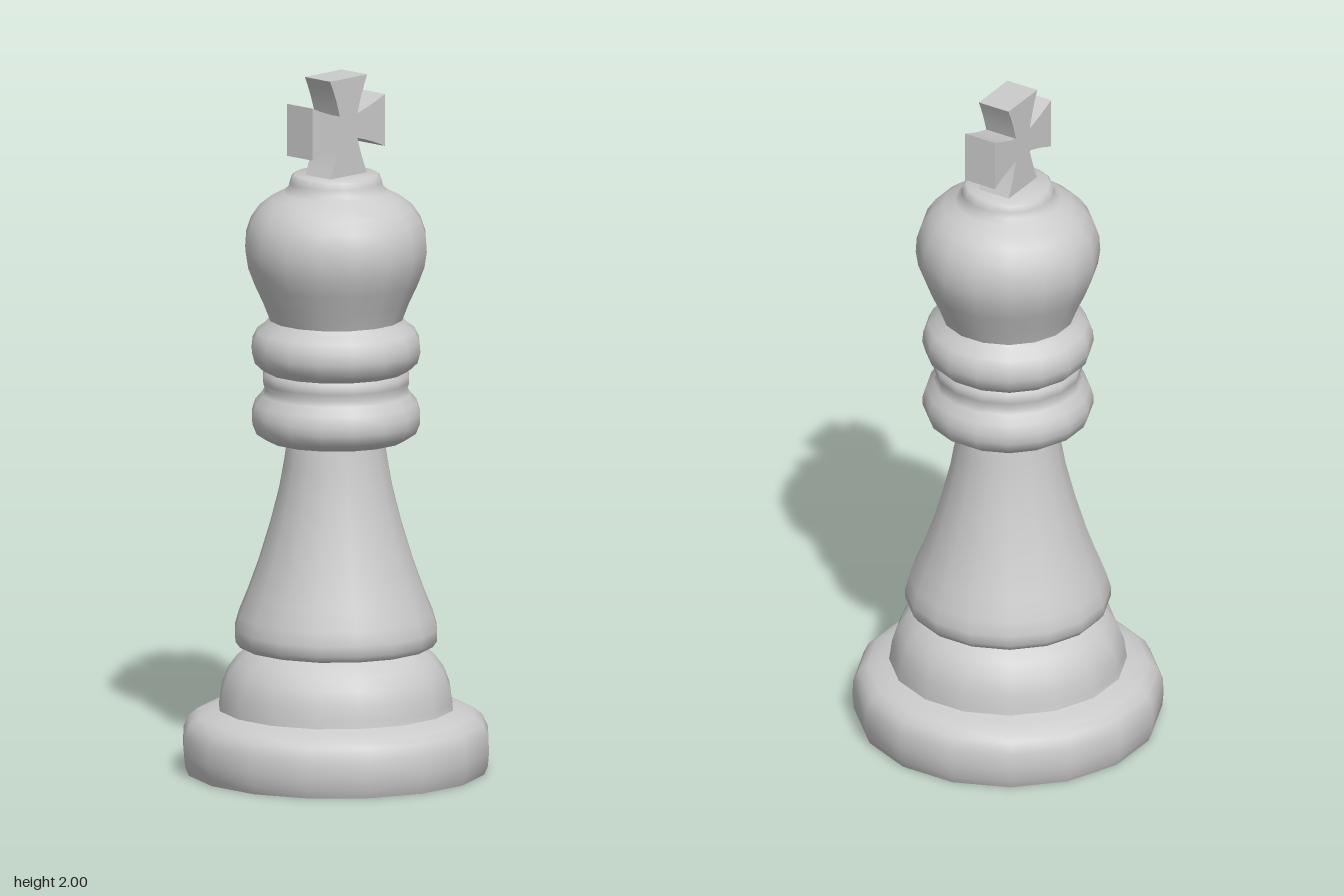
import * as THREE from 'three';
import { toCreasedNormals } from 'three/addons/utils/BufferGeometryUtils.js';

const SIDES = 16;
const material = new THREE.MeshStandardMaterial({ color: 0xcccccc });

// Turned part from [half width, height] pairs, with flat sides facing the axes
function turned(name, profile) {
  const toCorner = 1 / Math.cos(Math.PI / SIDES);
  const points = profile.map(([r, y]) => new THREE.Vector2(r * toCorner, y));
  const lathe = new THREE.LatheGeometry(points, SIDES, Math.PI / SIDES);
  const mesh = new THREE.Mesh(toCreasedNormals(lathe, 0.95), material);
  mesh.name = name;
  return mesh;
}

// Cross with four flared arms, lying in the yz plane
function makeCross() {
  const centreY = 1.858, neck = 0.036, flare = 0.075, thickness = 0.1;
  const reach = [0.147, 0.142]; // sideways, up and down
  const shape = new THREE.Shape();
  shape.moveTo(neck, -neck);
  for (let i = 0; i < 4; i++) {
    const c = Math.round(Math.cos(i * Math.PI / 2));
    const s = Math.round(Math.sin(i * Math.PI / 2));
    const r = reach[i % 2];
    const turn = (x, y) => [x * c - y * s, x * s + y * c];
    const mid = (neck + r) / 2;
    shape.quadraticCurveTo(...turn(mid, -0.05), ...turn(r, -flare));
    shape.lineTo(...turn(r, flare));
    shape.quadraticCurveTo(...turn(mid, 0.05), ...turn(neck, neck));
  }
  const geometry = new THREE.ExtrudeGeometry(shape, {
    depth: thickness, bevelEnabled: false, curveSegments: 4,
  });
  geometry.translate(0, 0, -thickness / 2);
  geometry.rotateY(Math.PI / 2);
  const mesh = new THREE.Mesh(toCreasedNormals(geometry, 0.5), material);
  mesh.name = 'cross';
  mesh.position.y = centreY;
  return mesh;
}

export function createModel() {
  const group = new THREE.Group();
  group.name = 'chessKing';
  group.add(
    // Wide foot and the rounded step above it
    turned('base', [
      [0, 0], [0.418, 0], [0.428, 0.025], [0.431, 0.06], [0.43, 0.11], [0.415, 0.142],
      [0.39, 0.163], [0.355, 0.174], [0.33, 0.182], [0.327, 0.2], [0.322, 0.24],
      [0.305, 0.285], [0.28, 0.32], [0.25, 0.347], [0.235, 0.357],
    ]),
    // Tapering stem
    turned('stem', [
      [0.235, 0.357], [0.272, 0.362], [0.285, 0.38], [0.285, 0.41], [0.274, 0.45],
      [0.25, 0.51], [0.218, 0.6], [0.185, 0.71], [0.16, 0.81], [0.146, 0.89], [0.138, 0.945],
    ]),
    // Two rings with a narrow band between them
    turned('collar', [
      [0.138, 0.945], [0.195, 0.955], [0.225, 0.975], [0.237, 1.005], [0.237, 1.03],
      [0.228, 1.06], [0.207, 1.085], [0.199, 1.1], [0.206, 1.12], [0.206, 1.14],
      [0.198, 1.152], [0.212, 1.162], [0.23, 1.18], [0.238, 1.21], [0.235, 1.24],
      [0.222, 1.267], [0.198, 1.285], [0.186, 1.3],
    ]),
    // Bulbous head with a small flat cap
    turned('head', [
      [0.186, 1.3], [0.205, 1.35], [0.23, 1.405], [0.249, 1.455], [0.256, 1.5],
      [0.253, 1.545], [0.24, 1.585], [0.215, 1.622], [0.18, 1.65], [0.148, 1.666],
      [0.134, 1.677], [0.129, 1.695], [0.124, 1.712], [0.116, 1.718], [0, 1.718],
    ]),
    makeCross(),
  );
  return group;
}
